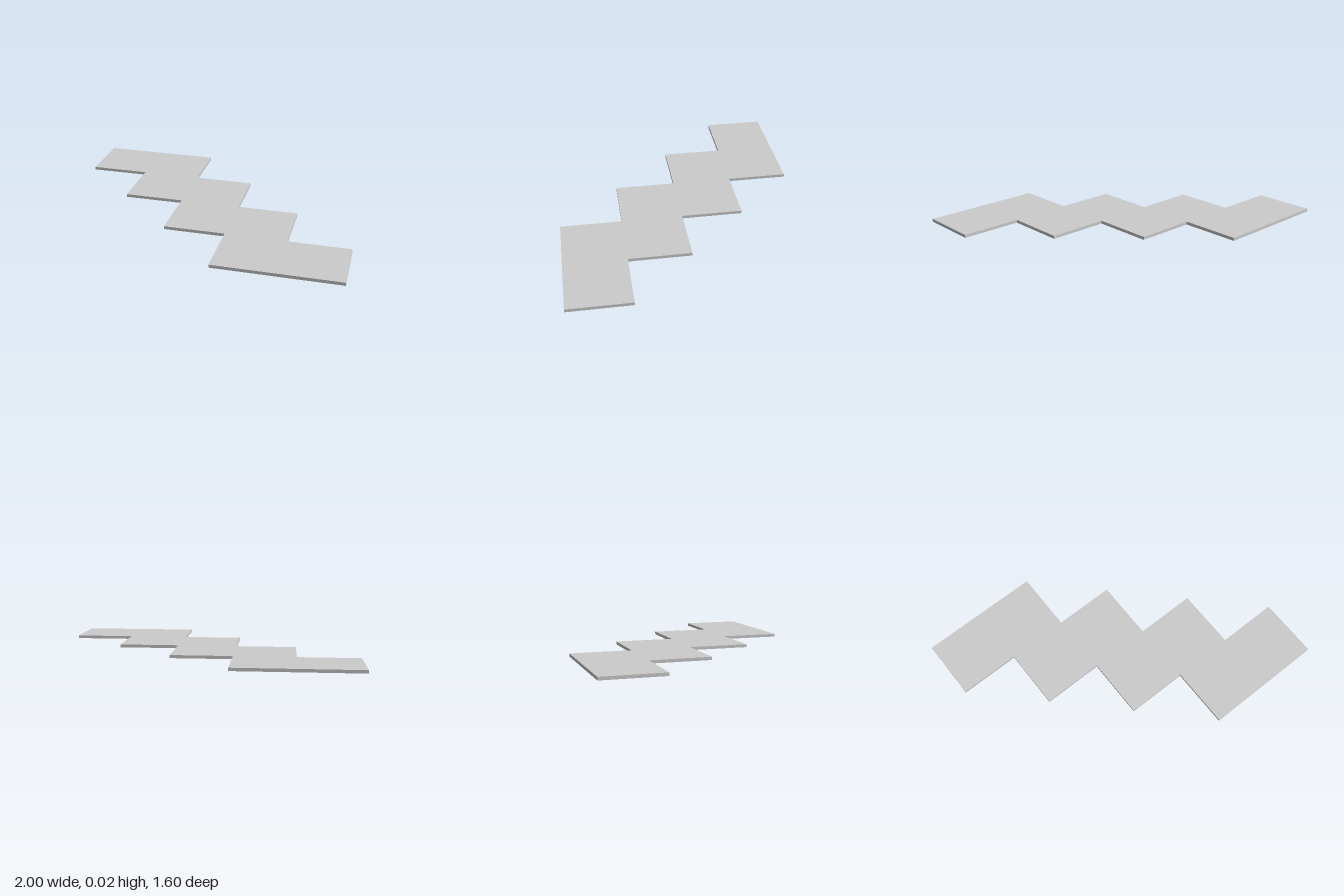
import * as THREE from 'three';

const ROWS = 4;
const STEP = 0.4; // row depth and sideways shift per row
const ROW_WIDTH = 0.8;
const THICKNESS = 0.02;

// Outline of the staggered rows, in x and -z
function steppedOutline() {
  const right = [];
  const left = [];
  for (let i = 0; i < ROWS; i++) {
    const x = -1 + i * STEP;
    const back = -0.8 + i * STEP;
    const front = back + STEP;
    right.push(new THREE.Vector2(x + ROW_WIDTH, -back), new THREE.Vector2(x + ROW_WIDTH, -front));
    left.push(new THREE.Vector2(x, -back), new THREE.Vector2(x, -front));
  }
  return new THREE.Shape([...right, ...left.reverse()]);
}

export function createModel() {
  const model = new THREE.Group();
  model.name = 'steppedPlatform';

  // One thin slab lying flat on the ground
  const geometry = new THREE.ExtrudeGeometry(steppedOutline(), { depth: THICKNESS, bevelEnabled: false });
  geometry.rotateX(-Math.PI / 2);
  const slab = new THREE.Mesh(geometry, new THREE.MeshStandardMaterial({ color: 0xcccccc }));
  slab.name = 'slab';
  model.add(slab);

  return model;
}
